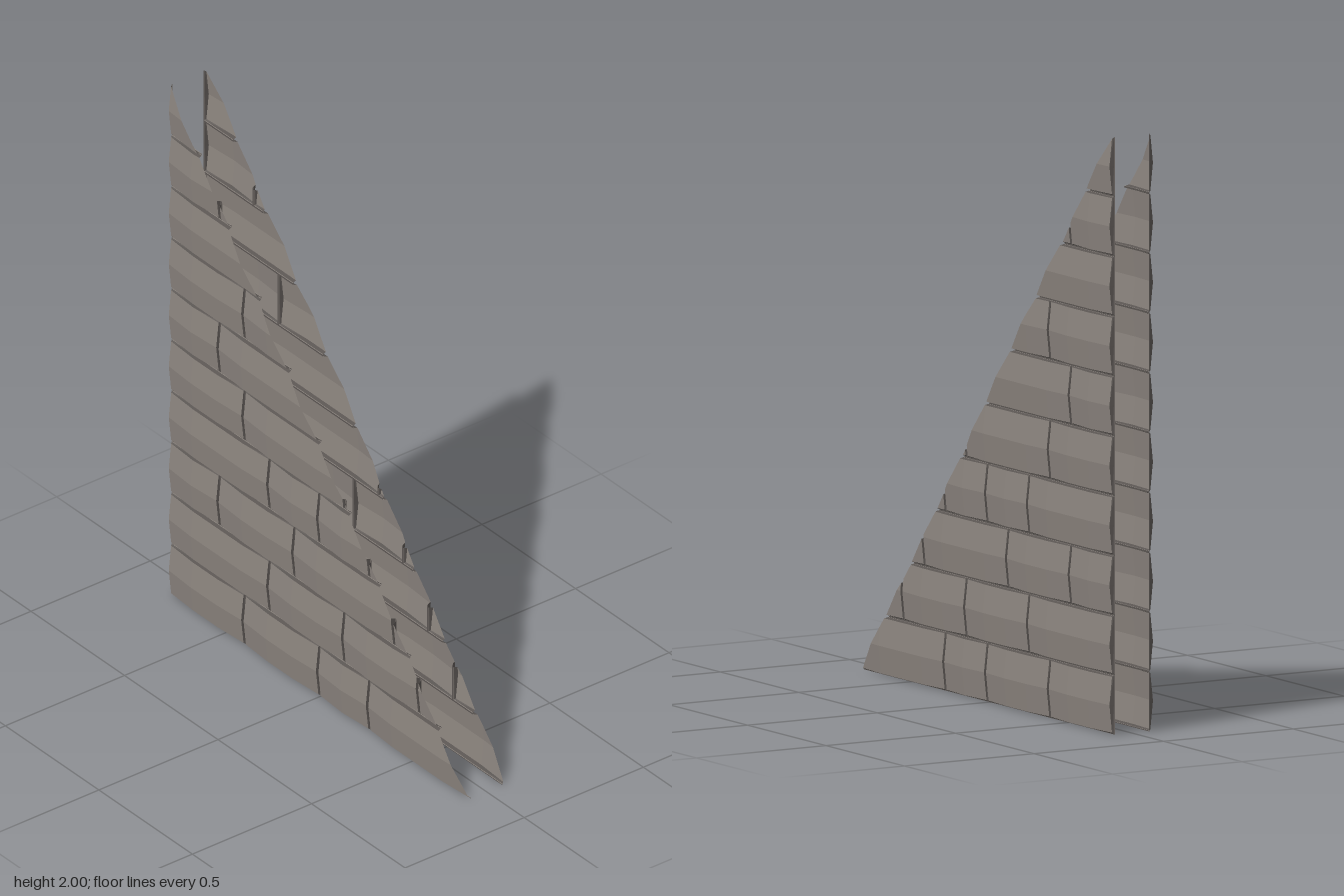
import * as THREE from 'three';

const CELL = 1.6 / 12, ROW = 0.2;
const SLIT = 0.003, BEVEL = 0.0065;          // half joint width and bevel inset
const Z_BACK = 0.066, Z_WALL = 0.069;        // joint floor and top of the upright block sides
const Z_CORNER = 0.074, RISE_X = 0.008, RISE_Y = 0.01; // gently domed block face

// Upright joints of each course, counted in cells from the left edge
const COURSES = [[3, 6, 8], [4, 7, 10], [2, 5, 9], [4, 6, 8], [3, 7], [2], [3], [], [2], []];

// Signed distance inside the sloping edge
const inside = (p) => 0.8 - 0.8 * p[1] - p[0];

// Cut a triangle along the sloping edge and add what remains
function addClipped(out, tri) {
  const poly = [];
  tri.forEach((a, i) => {
    const b = tri[(i + 1) % 3], fa = inside(a), fb = inside(b);
    if (fa >= 0) poly.push(a);
    if (fa * fb < 0) poly.push(a.map((v, k) => v + (b[k] - v) * fa / (fa - fb)));
  });
  for (let i = 1; i + 1 < poly.length; i++) out.push(...poly[0], ...poly[i], ...poly[i + 1]);
}

function addQuad(out, a, b, c, d) {
  addClipped(out, [a, b, c]);
  addClipped(out, [a, c, d]);
}

// One domed block: joint floor, upright sides, dark bevel and face
function addBlock(stone, joint, c0, c1, row) {
  const x0 = -0.8 + c0 * CELL, x1 = -0.8 + c1 * CELL, y0 = row * ROW, y1 = y0 + ROW;
  const n = c1 - c0;

  // Grid of the block inset by a margin, with a height rule
  const grid = (m, height) => (i, j) => [
    i === 0 ? x0 + m : i === n ? x1 - m : x0 + i * CELL,
    j === 0 ? y0 + m : j === 2 ? y1 - m : y0 + ROW / 2,
    height(i, j),
  ];
  const rings = [
    grid(0, () => Z_BACK),
    grid(SLIT, () => Z_BACK),
    grid(SLIT, () => Z_WALL),
    grid(BEVEL, (i, j) => Z_CORNER + (i > 0 && i < n ? RISE_X : 0) + (j === 1 ? RISE_Y : 0)),
  ];

  // Outline of the grid, counter-clockwise
  const loop = [];
  for (let i = 0; i < n; i++) loop.push([i, 0]);
  loop.push([n, 0], [n, 1]);
  for (let i = n; i > 0; i--) loop.push([i, 2]);
  loop.push([0, 2], [0, 1]);
  for (let r = 0; r < 3; r++) {
    const out = r === 1 ? stone : joint;
    loop.forEach((p, k) => {
      const q = loop[(k + 1) % loop.length];
      addQuad(out, rings[r](...p), rings[r](...q), rings[r + 1](...q), rings[r + 1](...p));
    });
  }

  // Face
  const face = rings[3];
  for (let i = 0; i < n; i++) {
    for (let j = 0; j < 2; j++) {
      addQuad(stone, face(i, j), face(i + 1, j), face(i + 1, j + 1), face(i, j + 1));
    }
  }
}

function toGeometry(positions) {
  const g = new THREE.BufferGeometry();
  g.setAttribute('position', new THREE.Float32BufferAttribute(positions, 3));
  g.computeVertexNormals();
  return g;
}

export function createModel() {
  const stoneMat = new THREE.MeshStandardMaterial({ color: 0x8a837d, flatShading: true, side: THREE.DoubleSide });
  stoneMat.name = 'stone';
  const jointMat = new THREE.MeshStandardMaterial({ color: 0x5a5552, flatShading: true, side: THREE.DoubleSide });
  jointMat.name = 'dark joint';

  // Courses of blocks, the last block of each running past the slope
  const stone = [], joint = [];
  COURSES.forEach((joints, row) => {
    const stops = [0, ...joints, Math.max(12, (joints.at(-1) ?? 0) + 4)];
    for (let k = 0; k + 1 < stops.length; k++) addBlock(stone, joint, stops[k], stops[k + 1], row);
  });
  const stoneGeo = toGeometry(stone), jointGeo = toGeometry(joint);

  // Two matching faces, mirrored front to back
  const model = new THREE.Group();
  model.name = 'triangularWall';
  for (const s of [1, -1]) {
    const face = new THREE.Group();
    face.name = s > 0 ? 'frontFace' : 'backFace';
    const blocks = new THREE.Mesh(stoneGeo, stoneMat);
    blocks.name = 'blocks';
    const joints = new THREE.Mesh(jointGeo, jointMat);
    joints.name = 'joints';
    face.add(blocks, joints);
    face.scale.z = s;
    model.add(face);
  }
  return model;
}
